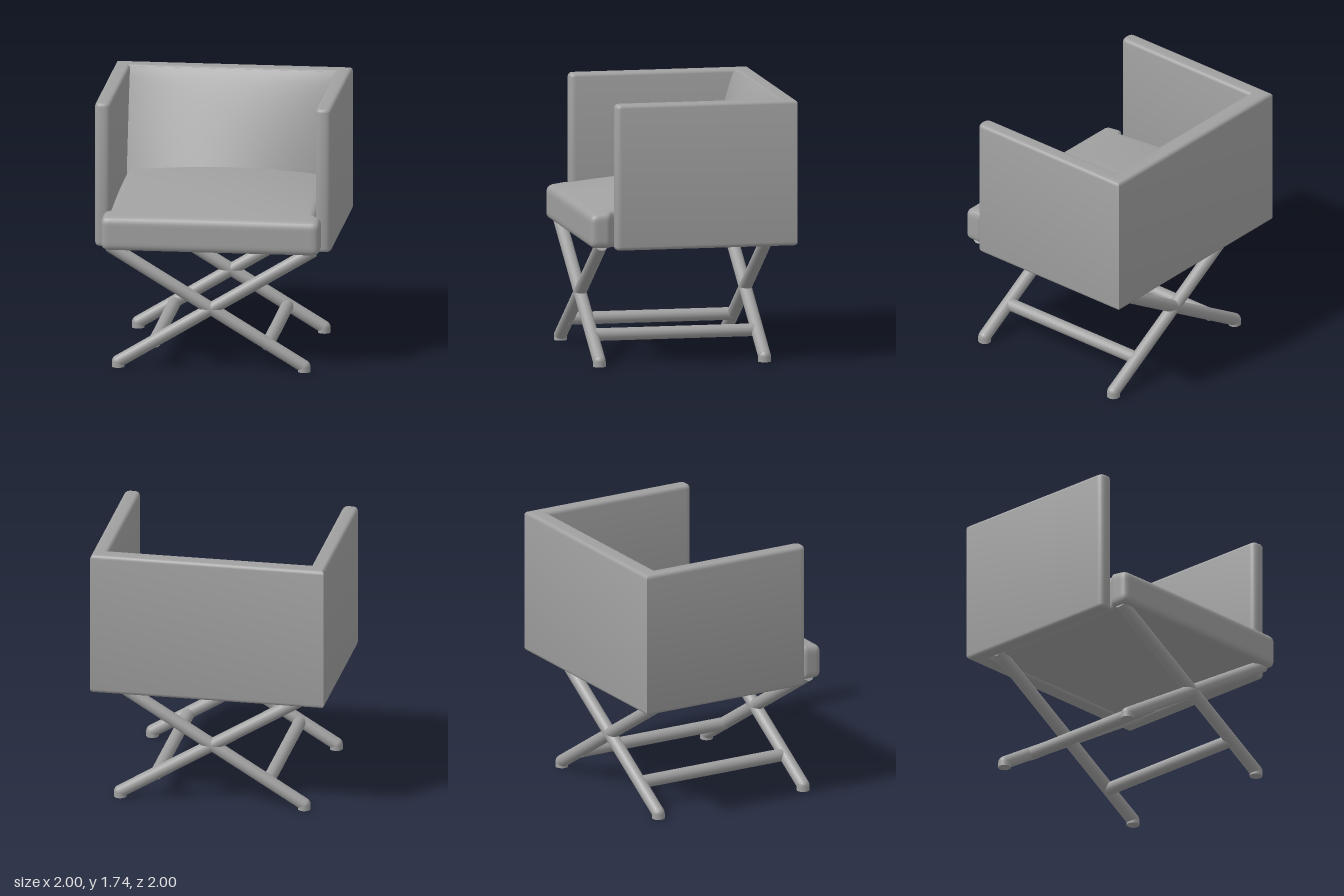
import * as THREE from 'three';
import { mergeVertices, toCreasedNormals } from 'three/addons/utils/BufferGeometryUtils.js';

const grey = new THREE.MeshStandardMaterial({ color: 0xa0a0a0 });
grey.name = 'grey';

function add(parent, name, geometry) {
  const mesh = new THREE.Mesh(geometry, grey);
  mesh.name = name;
  parent.add(mesh);
  return mesh;
}

// Round bar between two points
function bar(parent, name, a, b, r) {
  const mesh = add(parent, name, new THREE.CylinderGeometry(r, r, a.distanceTo(b), 20));
  mesh.position.copy(a).lerp(b, 0.5);
  mesh.quaternion.setFromUnitVectors(new THREE.Vector3(0, 1, 0), b.clone().sub(a).normalize());
}

// Move the vertices of a geometry by a rule, then smooth it
function shapeBy(geometry, rule, crease) {
  geometry.deleteAttribute('uv');
  geometry.deleteAttribute('normal');
  const g = mergeVertices(geometry, 1e-4);
  const p = g.attributes.position;
  const v = new THREE.Vector3();
  for (let i = 0; i < p.count; i++) {
    rule(v.fromBufferAttribute(p, i));
    p.setXYZ(i, v.x, v.y, v.z);
  }
  if (crease) return toCreasedNormals(g, crease);
  g.computeVertexNormals();
  return g;
}

// U-shaped shell: back panel and both arms, with soft edges
function shellGeometry() {
  const o = 0.775, i = 0.672, back = 0.645, inner = 0.53, end = -0.565, r = 0.045;
  const s = new THREE.Shape();
  s.moveTo(-o, back);
  s.lineTo(-o, end + r);
  s.quadraticCurveTo(-o, end, -o + r, end);
  s.lineTo(-i - r, end);
  s.quadraticCurveTo(-i, end, -i, end + r);
  s.lineTo(-i, inner);
  s.lineTo(i, inner);
  s.lineTo(i, end + r);
  s.quadraticCurveTo(i, end, i + r, end);
  s.lineTo(o - r, end);
  s.quadraticCurveTo(o, end, o, end + r);
  s.lineTo(o, back);
  s.closePath();
  const b = 0.025;
  const g = new THREE.ExtrudeGeometry(s, {
    depth: 0.96 - 2 * b, bevelSize: b, bevelThickness: b, bevelOffset: -b,
    bevelSegments: 4, curveSegments: 6,
  });
  g.rotateX(-Math.PI / 2);
  g.translate(0, 0.78 + b, 0);
  return toCreasedNormals(g, 0.6);
}

// Domed seat cushion, widening into small ears in front of the arms
function seatGeometry() {
  const half = new THREE.Vector3(0.675, 0.11, 0.635), r = 0.04;
  const g = new THREE.BoxGeometry(half.x * 2, half.y * 2, half.z * 2, 72, 12, 72);
  const core = new THREE.Vector3();
  return shapeBy(g, (p) => {
    core.copy(p).clamp(
      new THREE.Vector3(r - half.x, r - half.y, r - half.z),
      new THREE.Vector3(half.x - r, half.y - r, half.z - r));
    const out = p.clone().sub(core);
    if (out.lengthSq() > 0) p.copy(core).addScaledVector(out.normalize(), r);
    const top = THREE.MathUtils.smoothstep(p.y, 0, half.y);
    const u = Math.abs(p.x) / half.x;
    p.z += 0.085;
    const f = 1 - Math.pow(THREE.MathUtils.clamp((p.z + 0.2) / 0.92, 0, 1), 2);
    p.y += 0.9 + top * 0.13 * f * (1 - 0.5 * u * u);
    p.x *= 1 + 0.06 * THREE.MathUtils.smoothstep(p.z, 0.555, 0.6);
  });
}

// Back cushion, leaning and bulging towards the seat
function backGeometry() {
  const g = new THREE.BoxGeometry(1.345, 0.75, 0.02, 32, 24, 1);
  return shapeBy(g, (p) => {
    const front = p.z > 0;
    p.y += 1.355;
    const t = (1.73 - p.y) / 0.6;
    const u = p.x / 0.6725;
    p.z = front ? -0.53 + Math.pow(t, 0.85) * (0.165 + 0.125 * (1 - u * u)) : -0.56;
  }, 0.6);
}

export function createModel() {
  const model = new THREE.Group();
  const chair = new THREE.Group();
  chair.name = 'chair';
  chair.rotation.y = 0.763;
  model.add(chair);

  add(chair, 'backAndArms', shellGeometry());
  add(chair, 'seatCushion', seatGeometry());
  add(chair, 'backCushion', backGeometry());

  // Crossed legs, front and back
  const r = 0.042;
  for (const [side, z] of [['front', 0.64], ['back', -0.46]]) {
    for (const sx of [-1, 1]) {
      const knee = new THREE.Vector3(0.61 * sx, 0.035, z);
      bar(chair, side + 'Leg', knee, new THREE.Vector3(-0.67 * sx, 0.81, z), r);
      bar(chair, side + 'Foot', new THREE.Vector3(0.61 * sx, 0, z), knee, r);
      add(chair, side + 'FootJoint', new THREE.SphereGeometry(r * 0.99, 16, 8, 0, Math.PI * 2, 0, Math.PI / 2))
        .position.copy(knee);
    }
  }

  // Stretchers joining the two crosses
  for (const sx of [-1, 1]) {
    bar(chair, 'stretcher', new THREE.Vector3(0.37 * sx, 0.175, -0.46),
      new THREE.Vector3(0.37 * sx, 0.175, 0.64), r);
  }
  return model;
}
